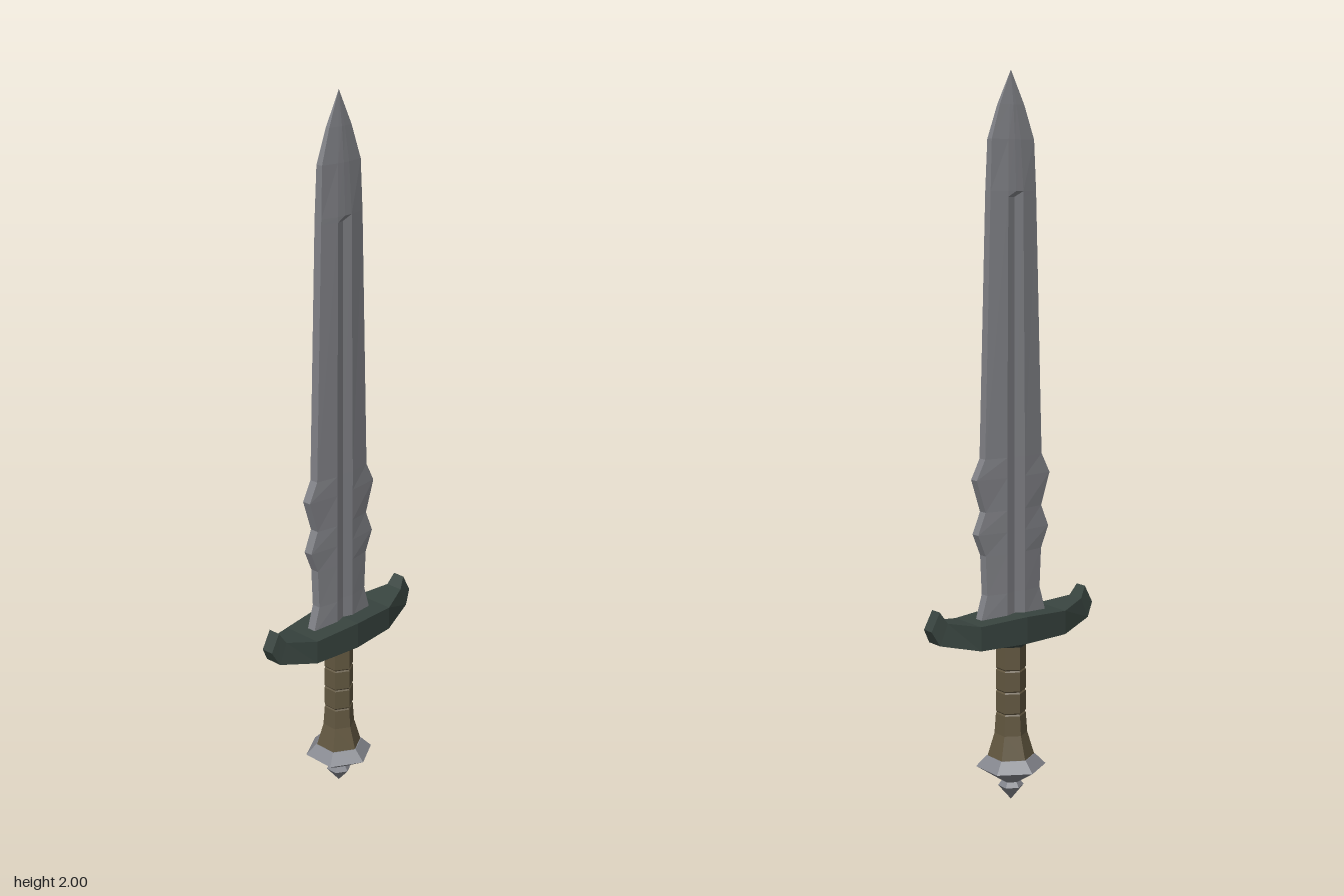
import * as THREE from 'three';

const material = (name, color) => {
  const m = new THREE.MeshStandardMaterial({ color, flatShading: true });
  m.name = name;
  return m;
};

// Skin a closed surface through rings of points, capping both ends
function loft(rings) {
  const pos = [];
  const tri = (...pts) => pts.forEach((p) => pos.push(...p));
  const n = rings[0].length;
  for (let r = 0; r < rings.length - 1; r++) {
    const a = rings[r], b = rings[r + 1];
    for (let i = 0; i < n; i++) {
      const j = (i + 1) % n;
      tri(a[j], a[i], b[i]);
      tri(a[j], b[i], b[j]);
    }
  }
  const first = rings[0], last = rings[rings.length - 1];
  for (let i = 1; i < n - 1; i++) {
    tri(first[0], first[i], first[i + 1]);
    tri(last[0], last[i + 1], last[i]);
  }
  const g = new THREE.BufferGeometry();
  g.setAttribute('position', new THREE.Float32BufferAttribute(pos, 3));
  g.computeVertexNormals();
  return g;
}

// Six-sided turned part with a corner facing the front
function turned(profile) {
  const g = new THREE.LatheGeometry(profile.map(([r, y]) => new THREE.Vector2(r, y)), 6);
  const flat = g.toNonIndexed();
  flat.computeVertexNormals();
  return flat;
}

export function createModel() {
  const group = new THREE.Group();
  const steel = material('blade steel', 0x808186);
  const pommelSteel = material('pommel steel', 0x84868d);
  const iron = material('dark green iron', 0x38443f);
  const leather = material('brown leather', 0x625740);

  const add = (name, geometry, mat) => {
    const mesh = new THREE.Mesh(geometry, mat);
    mesh.name = name;
    group.add(mesh);
  };

  // Blade stations: height, half width, edge, ridge and centre half thickness, fuller half width
  const stations = [
    [0.525, 0.112, 0.013, 0.025, 0.017, 0.03],
    [0.6, 0.09, 0.013, 0.024, 0.016, 0.03],
    [0.71, 0.095, 0.013, 0.024, 0.016, 0.03],
    [0.77, 0.12, 0.013, 0.024, 0.016, 0.03],
    [0.83, 0.095, 0.013, 0.024, 0.016, 0.03],
    [0.92, 0.124, 0.013, 0.024, 0.016, 0.03],
    [0.975, 0.096, 0.013, 0.024, 0.016, 0.03],
    [1.67, 0.076, 0.012, 0.022, 0.015, 0.025],
    [1.685, 0.0755, 0.012, 0.022, 0.023, 0.025],
    [1.82, 0.07, 0.01, 0.017, 0.018, 0.02],
    [1.91, 0.04, 0.006, 0.01, 0.011, 0.011],
    [2.0, 0, 0, 0, 0, 0],
  ];
  add('blade', loft(stations.map(([y, w, e, t, c, f]) => [
    [w, y, e], [f, y, t], [0, y, c], [-f, y, t], [-w, y, e],
    [-w, y, -e], [-f, y, -t], [0, y, -c], [f, y, -t], [w, y, -e],
  ])), steel);

  // Crossguard: lower x and y, upper x and y, half depth; mirrored about the centre
  const half = [
    [0, 0.465, 0, 0.54, 0.075],
    [0.145, 0.465, 0.145, 0.532, 0.06],
    [0.255, 0.49, 0.23, 0.548, 0.026],
    [0.277, 0.53, 0.25, 0.58, 0.018],
  ];
  const mirrored = half.slice(1).reverse().map(([a, b, c, d, z]) => [-a, b, -c, d, z]);
  add('crossguard', loft([...mirrored, ...half].map(([xb, yb, xt, yt, z]) => [
    [xb, yb, z], [xt, yt, z], [xt, yt, -z], [xb, yb, -z],
  ])), iron);

  // Collar below the guard
  add('collar', turned([[0, 0.448], [0.046, 0.448], [0.054, 0.458], [0.054, 0.468], [0, 0.468]]), iron);

  // Grip with shallow wrapped bands and a flared foot
  const grip = [[0.066, 0.128], [0.046, 0.195]];
  for (const y of [0.255, 0.318, 0.38]) grip.push([0.042, y - 0.004], [0.039, y], [0.042, y + 0.004]);
  grip.push([0.042, 0.452]);
  add('grip', turned(grip), leather);

  // Pommel with a small end button
  add('pommel', turned([
    [0, 0], [0.036, 0.042], [0.026, 0.056], [0.098, 0.1], [0.068, 0.13], [0, 0.13],
  ]), pommelSteel);

  return group;
}
